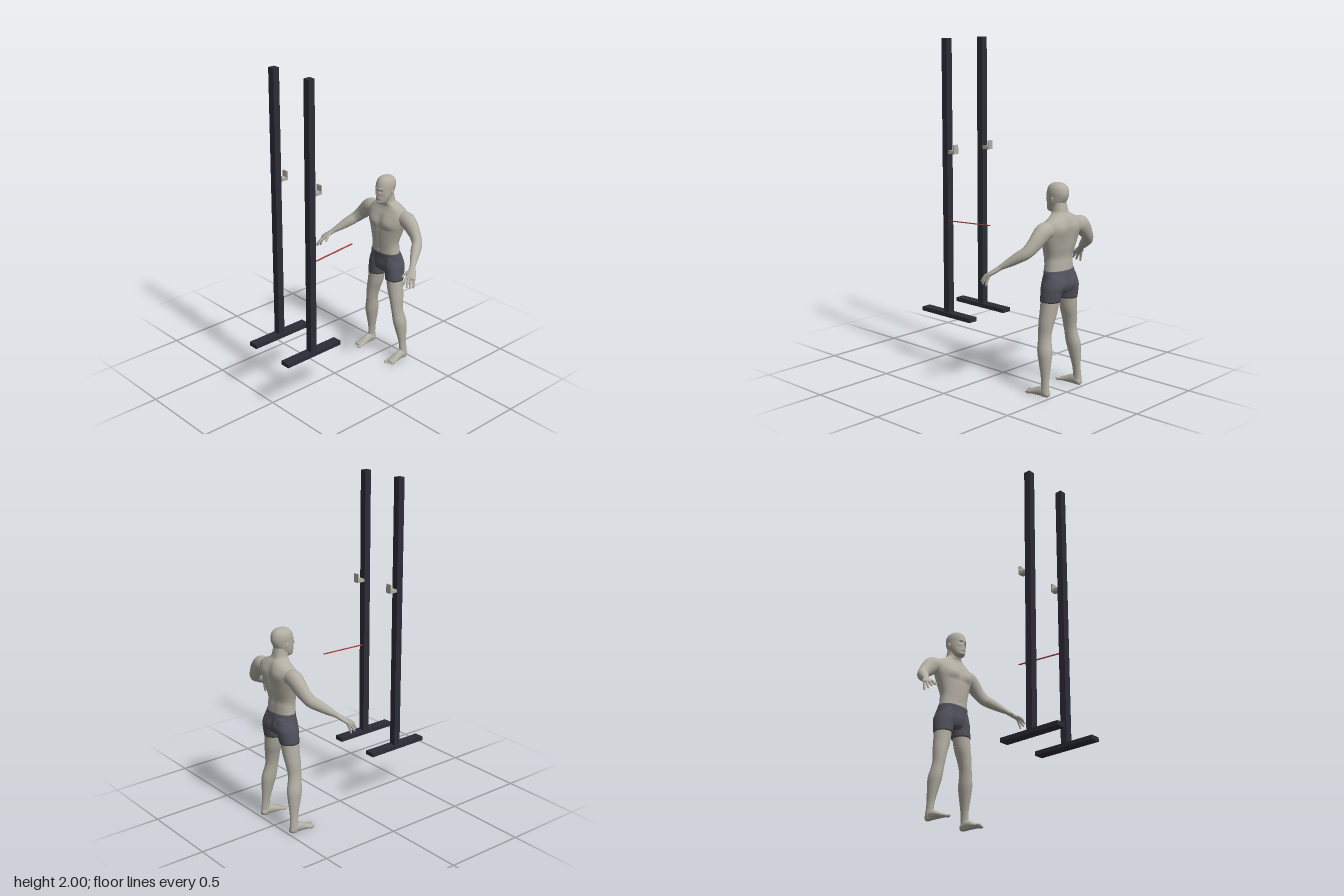
import * as THREE from 'three';

const mat = (name, color) => Object.assign(new THREE.MeshStandardMaterial({ color }), { name });

// Smooth closed skin through sections [x, y, z, halfWidth, halfDepth].
// With an axis the sections stay square to it, otherwise they follow the path.
function loft(sections, { axis = null, sides = 24, steps = 5, power = 2, bumps = [] } = {}) {
  const path = new THREE.CatmullRomCurve3(sections.map(s => new THREE.Vector3(s[0], s[1], s[2])), false, 'catmullrom', 0.5);
  const size = new THREE.CatmullRomCurve3(sections.map(s => new THREE.Vector3(s[3], s[4], 0)), false, 'catmullrom', 0.5);
  const rows = (sections.length - 1) * steps;
  const ref = axis && Math.abs(axis.y) > 0.9 ? new THREE.Vector3(0, 0, 1) : new THREE.Vector3(0, 1, 0);
  const pos = [], index = [];
  const round = c => Math.sign(c) * Math.abs(c) ** (2 / power);
  for (let i = 0; i <= rows; i++) {
    const t = i / rows, c = path.getPoint(t), r = size.getPoint(t);
    const T = axis ? axis.clone() : path.getPoint(Math.min(1, t + 0.02)).sub(path.getPoint(Math.max(0, t - 0.02))).normalize();
    const u = new THREE.Vector3().crossVectors(T, ref).normalize();
    const v = new THREE.Vector3().crossVectors(u, T);
    for (let j = 0; j < sides; j++) {
      const a = j / sides * Math.PI * 2;
      const p = c.clone().addScaledVector(u, r.x * round(Math.cos(a))).addScaledVector(v, r.y * round(Math.sin(a)));
      pos.push(p.x, p.y, p.z);
      if (i < rows) {
        const k = i * sides + j, n = i * sides + (j + 1) % sides;
        index.push(k, k + sides, n, n, k + sides, n + sides);
      }
    }
  }
  // end caps
  const first = path.getPoint(0), last = path.getPoint(1), c0 = pos.length / 3;
  pos.push(first.x, first.y, first.z, last.x, last.y, last.z);
  for (let j = 0; j < sides; j++) {
    const n = (j + 1) % sides, e = rows * sides;
    index.push(c0, j, n, c0 + 1, e + n, e + j);
  }
  // soft muscle bumps [x, y, z, radiusX, radiusY, push along z], mirrored in x
  for (let k = 0; k < pos.length; k += 3) {
    let dz = 0;
    for (const [x, y, z, rx, ry, push] of bumps) {
      dz += push * Math.exp(-(((Math.abs(pos[k]) - x) / rx) ** 2) - ((pos[k + 1] - y) / ry) ** 2 - ((pos[k + 2] - z) / 0.05) ** 2);
    }
    pos[k + 2] += dz;
  }
  const g = new THREE.BufferGeometry();
  g.setAttribute('position', new THREE.Float32BufferAttribute(pos, 3));
  g.setIndex(index);
  g.computeVertexNormals();
  return g;
}

export function createModel() {
  const root = new THREE.Group();
  root.name = 'athleteAndStands';
  const skin = mat('skin', 0xb2aea3), cloth = mat('shorts', 0x52525c);
  const frame = mat('frame', 0x2c2c37), plate = mat('hookMetal', 0xb0aca2), red = mat('band', 0xb23c3a);
  const figure = new THREE.Group(), stands = new THREE.Group();
  figure.name = 'figure';
  stands.name = 'stands';
  root.add(figure, stands);

  const add = (parent, name, geometry, material) => {
    const m = new THREE.Mesh(geometry, material);
    m.name = name;
    parent.add(m);
    return m;
  };
  const box = (parent, name, material, [w, h, d], [x, y, z]) =>
    add(parent, name, new THREE.BoxGeometry(w, h, d), material).position.set(x, y, z);
  const ball = (parent, name, material, [rx, ry, rz], [x, y, z]) => {
    const m = add(parent, name, new THREE.SphereGeometry(1, 16, 12), material);
    m.scale.set(rx, ry, rz);
    m.position.set(x, y, z);
    return m;
  };
  const up = new THREE.Vector3(0, 1, 0), down = new THREE.Vector3(0, -1, 0), forward = new THREE.Vector3(0, 0, 1);

  // Torso and neck
  add(figure, 'torso', loft([
    [0, 0.70, -0.431, 0.102, 0.060], [0, 0.76, -0.429, 0.097, 0.060], [0, 0.80, -0.427, 0.099, 0.061],
    [0, 0.86, -0.433, 0.117, 0.069], [0, 0.92, -0.437, 0.137, 0.074], [0, 0.97, -0.446, 0.146, 0.070],
    [0, 1.005, -0.451, 0.130, 0.058], [0, 1.03, -0.449, 0.085, 0.049], [0, 1.05, -0.438, 0.051, 0.045],
    [0, 1.08, -0.430, 0.044, 0.045], [0, 1.12, -0.422, 0.042, 0.044],
  ], {
    axis: up, sides: 64, steps: 6, power: 2.25, bumps: [
      [0.062, 0.925, -0.365, 0.045, 0.035, 0.010], [0, 0.93, -0.36, 0.013, 0.05, -0.008],
      [0, 0.80, -0.365, 0.008, 0.08, -0.004], [0, 0.745, -0.37, 0.008, 0.008, -0.005],
      [0.065, 0.96, -0.515, 0.045, 0.05, -0.009], [0, 0.90, -0.51, 0.016, 0.13, 0.010],
      [0.05, 0.885, -0.365, 0.05, 0.012, -0.004],
    ],
  }), skin);

  // Head with brow, eye sockets, cheeks and mouth
  add(figure, 'head', loft([
    [0, 1.048, -0.388, 0.018, 0.024], [0, 1.058, -0.392, 0.033, 0.040], [0, 1.085, -0.403, 0.045, 0.053],
    [0, 1.11, -0.410, 0.050, 0.062], [0, 1.14, -0.417, 0.052, 0.069], [0, 1.165, -0.420, 0.053, 0.068],
    [0, 1.19, -0.421, 0.048, 0.060], [0, 1.208, -0.421, 0.034, 0.043], [0, 1.217, -0.421, 0.012, 0.016],
  ], {
    axis: up, sides: 72, steps: 8, bumps: [
      [0.019, 1.133, -0.352, 0.010, 0.008, -0.008], [0.016, 1.146, -0.350, 0.014, 0.006, 0.004],
      [0.028, 1.10, -0.365, 0.012, 0.012, -0.003], [0, 1.086, -0.350, 0.016, 0.007, 0.005],
      [0, 1.085, -0.346, 0.014, 0.002, -0.004], [0, 1.073, -0.352, 0.016, 0.005, -0.004],
      [0, 1.06, -0.352, 0.014, 0.008, 0.004],
    ],
  }), skin);
  add(figure, 'nose', loft([
    [0, 1.143, -0.351, 0.004, 0.004], [0, 1.125, -0.347, 0.006, 0.008],
    [0, 1.112, -0.345, 0.010, 0.011], [0, 1.105, -0.348, 0.006, 0.005],
  ], { axis: up, sides: 16 }), skin);

  // Shorts: seat, with the legs added below
  add(figure, 'shortsSeat', loft([
    [0, 0.585, -0.438, 0.035, 0.040], [0, 0.60, -0.440, 0.085, 0.058], [0, 0.64, -0.441, 0.116, 0.068],
    [0, 0.68, -0.437, 0.111, 0.066], [0, 0.722, -0.431, 0.104, 0.062],
  ], {
    axis: up, sides: 56, steps: 6, power: 2.3,
    bumps: [[0.052, 0.635, -0.505, 0.04, 0.04, -0.007], [0, 0.63, -0.505, 0.01, 0.06, 0.010], [0, 0.635, -0.37, 0.03, 0.035, 0.006]],
  }), cloth);

  for (const s of [1, -1]) {
    const side = s > 0 ? 'left' : 'right';
    const flip = list => list.map(([x, ...rest]) => [x * s, ...rest]);
    const part = (name, list, opts, material = skin) => add(figure, side + name, loft(flip(list), opts), material);

    part('ShortsLeg', [
      [0.058, 0.70, -0.437, 0.045, 0.058], [0.064, 0.64, -0.441, 0.059, 0.069],
      [0.071, 0.60, -0.439, 0.058, 0.065], [0.076, 0.545, -0.434, 0.056, 0.059],
    ], { axis: down, sides: 32 }, cloth);

    part('Leg', [
      [0.075, 0.57, -0.435, 0.052, 0.056], [0.088, 0.48, -0.432, 0.048, 0.052], [0.102, 0.42, -0.429, 0.041, 0.047],
      [0.111, 0.36, -0.427, 0.034, 0.042], [0.117, 0.32, -0.431, 0.034, 0.042], [0.126, 0.26, -0.440, 0.037, 0.047],
      [0.132, 0.20, -0.447, 0.031, 0.040], [0.139, 0.12, -0.455, 0.021, 0.028], [0.143, 0.07, -0.458, 0.019, 0.026],
      [0.145, 0.03, -0.460, 0.021, 0.027], [0.145, 0.005, -0.460, 0.018, 0.024],
    ], { axis: down, sides: 32 });

    part('Foot', [
      [0.143, 0.02, -0.489, 0.010, 0.011], [0.143, 0.022, -0.477, 0.020, 0.021], [0.144, 0.030, -0.445, 0.022, 0.030],
      [0.145, 0.025, -0.405, 0.025, 0.025], [0.146, 0.015, -0.365, 0.030, 0.015],
      [0.146, 0.011, -0.342, 0.029, 0.011], [0.145, 0.010, -0.334, 0.022, 0.007],
    ], { axis: forward, sides: 28 });
    for (let i = 0; i < 5; i++) {
      const r = i ? 0.0058 : 0.009;
      ball(figure, side + 'Toe', skin, [r, r, 0.017], [s * (0.123 + (i ? 0.004 : 0) + i * 0.0106), r, -0.329 - 0.0045 * i]);
    }

    part('Arm', [
      [0.10, 0.962, -0.452, 0.042, 0.044], [0.155, 0.960, -0.452, 0.045, 0.052], [0.193, 0.932, -0.450, 0.041, 0.049],
      [0.233, 0.892, -0.443, 0.034, 0.041], [0.268, 0.856, -0.425, 0.031, 0.035], [0.292, 0.831, -0.392, 0.031, 0.032],
      [0.320, 0.800, -0.350, 0.025, 0.025], [0.347, 0.772, -0.311, 0.018, 0.016], [0.360, 0.758, -0.293, 0.019, 0.013],
    ], { sides: 28 });

    part('Palm', [
      [0.345, 0.774, -0.314, 0.016, 0.014], [0.360, 0.757, -0.293, 0.021, 0.014], [0.377, 0.738, -0.269, 0.029, 0.013],
      [0.387, 0.724, -0.253, 0.029, 0.011], [0.391, 0.717, -0.246, 0.023, 0.007],
    ], { sides: 24 });

    // Fingers: knuckle and tip, bending down a little towards the end
    const fingers = [
      ['IndexFinger', [0.370, 0.726, -0.238], [0.383, 0.691, -0.199]],
      ['MiddleFinger', [0.381, 0.724, -0.247], [0.402, 0.679, -0.205]],
      ['RingFinger', [0.392, 0.722, -0.257], [0.410, 0.668, -0.223]],
      ['LittleFinger', [0.402, 0.722, -0.267], [0.413, 0.663, -0.252]],
      ['Thumb', [0.357, 0.752, -0.282], [0.336, 0.716, -0.230]],
    ];
    for (const [name, a, b] of fingers) {
      const at = (t, lift, r) => [...a.map((v, k) => v + (b[k] - v) * t + (k === 1 ? lift : 0)), r, r];
      part(name, [at(0, 0, 0.009), at(0.4, 0.006, 0.008), at(0.75, 0.005, 0.007), at(0.95, 0.001, 0.005), at(1, 0, 0.002)], { sides: 12, steps: 3 });
    }

    const ear = ball(figure, side + 'Ear', skin, [0.005, 0.017, 0.010], [s * 0.053, 1.123, -0.422]);
    ear.rotation.y = s * -0.3;

    // Upright with its floor bar and hook
    box(stands, side + 'Upright', frame, [0.042, 1.65, 0.042], [s * 0.147, 1.175, 0.316]);
    box(stands, side + 'FloorBar', frame, [0.061, 0.025, 0.408], [s * 0.147, 0.3375, 0.316]);
    box(stands, side + 'HookShelf', plate, [0.036, 0.018, 0.051], [s * 0.147, 1.335, 0.2695]);
    box(stands, side + 'HookLip', plate, [0.036, 0.054, 0.008], [s * 0.147, 1.353, 0.248]);
  }

  // Stretched band fixed to the left upright
  const from = new THREE.Vector3(0.147, 0.917, 0.30), to = new THREE.Vector3(0.132, 0.931, -0.016);
  const band = add(root, 'band', new THREE.BoxGeometry(0.008, 0.005, from.distanceTo(to)), red);
  band.position.copy(from).lerp(to, 0.5);
  band.lookAt(to);
  return root;
}
